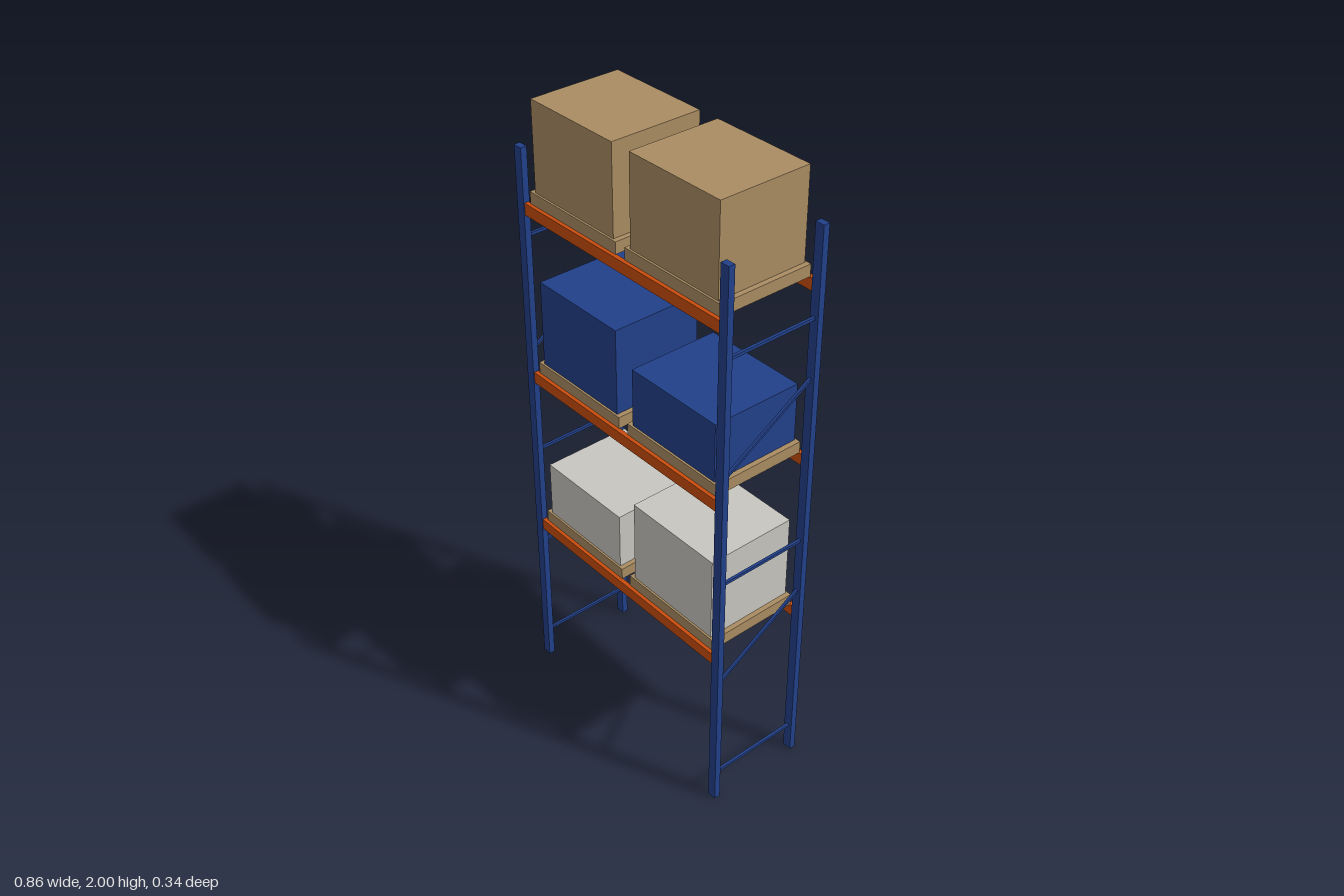
import * as THREE from 'three';

const paint = (name, color) => {
  const m = new THREE.MeshStandardMaterial({ color });
  m.name = name;
  return m;
};

export function createModel() {
  const blue = paint('blue steel', 0x22408a);
  const orange = paint('orange beam', 0xc84c0d);
  const tan = paint('cardboard and wood', 0xa98c62);
  const grey = paint('light grey', 0xc8c6c0);

  const rack = new THREE.Group();
  rack.name = 'palletRack';

  const box = (name, material, size, position, parent = rack) => {
    const mesh = new THREE.Mesh(new THREE.BoxGeometry(...size), material);
    mesh.name = name;
    mesh.position.set(...position);
    parent.add(mesh);
    return mesh;
  };

  const postX = 0.4165, railZ = 0.158, braceLength = 0.3;

  // End frames: two posts, horizontal ties and diagonal braces
  for (const side of [-1, 1]) {
    const frame = new THREE.Group();
    frame.name = side > 0 ? 'leftFrame' : 'rightFrame';
    rack.add(frame);
    for (const z of [-railZ, railZ]) {
      box('post', blue, [0.03, 1.855, 0.02], [side * postX, 1.855 / 2, z], frame);
    }
    for (const y of [0.097, 0.84, 1.58]) {
      box('tie', blue, [0.009, 0.009, braceLength], [side * postX, y, 0], frame);
    }
    // Diagonals climb from the front post to the back post
    for (const y of [0.56, 1.3]) {
      const rise = 0.185;
      const brace = box('diagonalBrace', blue,
        [0.009, 0.008, Math.hypot(braceLength, rise)], [side * postX, y, 0], frame);
      brace.rotation.x = Math.atan2(rise, braceLength);
    }
  }

  // Storage levels: beams, pallets and loads (left and right load tops in x order)
  const levels = [
    { y: 0.577, material: grey, tops: [0.8, 0.889] },
    { y: 1.133, material: blue, tops: [1.445, 1.355] },
    { y: 1.689, material: tan, tops: [2, 2] },
  ];
  const beamHeight = 0.037, palletHeight = 0.037;
  for (const { y, material, tops } of levels) {
    const level = new THREE.Group();
    level.name = 'storageLevel';
    rack.add(level);
    for (const z of [-railZ, railZ]) {
      box('beam', orange, [0.806, beamHeight, 0.0145], [0, y - beamHeight / 2, z], level);
    }
    tops.forEach((top, i) => {
      const x = i ? 0.204 : -0.204;
      const base = y + palletHeight;
      box('pallet', tan, [0.371, palletHeight, 0.307], [x, y + palletHeight / 2, 0], level);
      box('load', material, [0.339, top - base, 0.294], [x, (top + base) / 2, 0], level);
    });
  }

  return rack;
}
